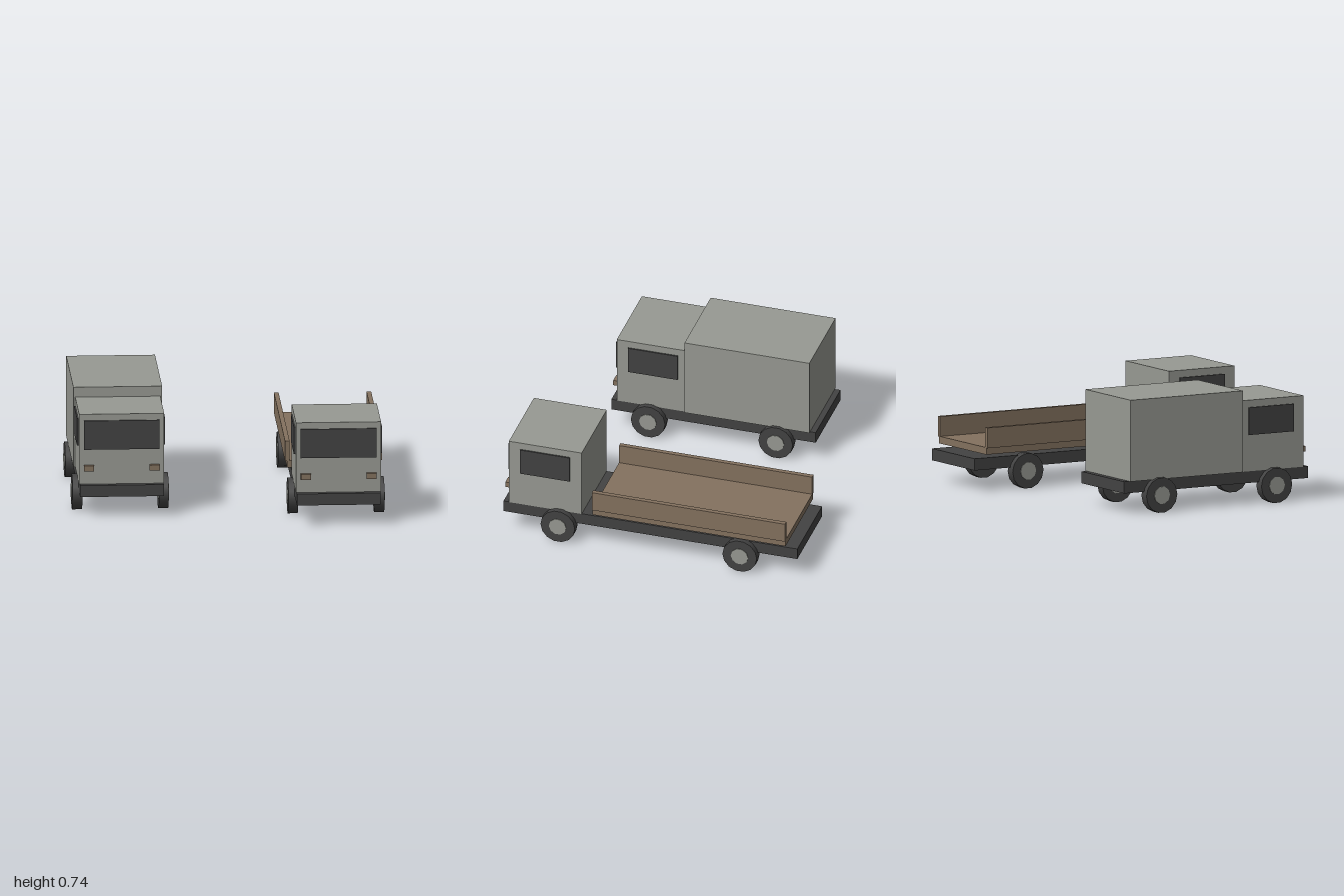
import * as THREE from 'three';

const mat = (name, color) => {
  const m = new THREE.MeshStandardMaterial({ color });
  m.name = name;
  return m;
};

export function createModel() {
  const grey = mat('bodyGrey', 0x989a93);
  const dark = mat('darkGrey', 0x434343);
  const brown = mat('woodBrown', 0x84725f);

  // Box given by its min/max limits on each axis
  const box = (parent, name, material, [x0, x1], [y0, y1], [z0, z1]) => {
    const mesh = new THREE.Mesh(new THREE.BoxGeometry(x1 - x0, y1 - y0, z1 - z0), material);
    mesh.name = name;
    mesh.position.set((x0 + x1) / 2, (y0 + y1) / 2, (z0 + z1) / 2);
    parent.add(mesh);
  };

  // Tyre with a hub showing slightly on the outer side
  const wheel = (parent, side, z) => {
    const g = new THREE.Group();
    g.name = 'wheel';
    const tyre = new THREE.Mesh(new THREE.CylinderGeometry(0.115, 0.115, 0.063, 14), dark);
    tyre.name = 'tyre';
    const hub = new THREE.Mesh(new THREE.CylinderGeometry(0.058, 0.058, 0.068, 10), grey);
    hub.name = 'hub';
    for (const part of [tyre, hub]) {
      part.rotation.z = Math.PI / 2;
      g.add(part);
    }
    hub.position.x = side * 0.002;
    g.position.set(side * 0.277, 0.115, z);
    parent.add(g);
  };

  // Chassis, cab, windows, lights and wheels shared by both vehicles
  const baseVehicle = (name, x, halfLength, cabBack, wheelZ) => {
    const g = new THREE.Group();
    g.name = name;
    g.position.x = x;
    const front = halfLength - 0.037;
    box(g, 'chassis', dark, [-0.269, 0.269], [0.14, 0.216], [-halfLength, halfLength]);
    box(g, 'cab', grey, [-0.273, 0.273], [0.216, 0.677], [cabBack, front]);
    box(g, 'windscreen', dark, [-0.243, 0.243], [0.446, 0.636], [front + 0.004, front + 0.0135]);
    for (const s of [-1, 1]) {
      const span = (a, b) => (s > 0 ? [a, b] : [-b, -a]);
      box(g, 'sideWindow', dark, span(0.273, 0.2825), [0.452, 0.63], [front - 0.41, front - 0.077]);
      box(g, 'headlight', brown, span(0.178, 0.243), [0.308, 0.344], [halfLength - 0.028, halfLength - 0.004]);
      wheel(g, s, wheelZ);
      wheel(g, s, -wheelZ);
    }
    return g;
  };

  const model = new THREE.Group();
  model.name = 'twoTrucks';

  // Closed van with a cargo box
  const van = baseVehicle('boxVan', -0.688, 0.685, 0.19, 0.428);
  box(van, 'cargoBox', grey, [-0.285, 0.285], [0.216, 0.743], [-0.647, 0.19]);

  // Flatbed with side boards
  const flatbed = baseVehicle('flatbedTruck', 0.687, 0.985, 0.46, 0.61);
  box(flatbed, 'bedFloor', brown, [-0.298, 0.298], [0.241, 0.287], [-0.915, 0.38]);
  for (const s of [-1, 1]) {
    box(flatbed, 'sideBoard', brown, s > 0 ? [0.282, 0.312] : [-0.312, -0.282], [0.284, 0.416], [-0.915, 0.38]);
  }

  model.add(van, flatbed);
  return model;
}
